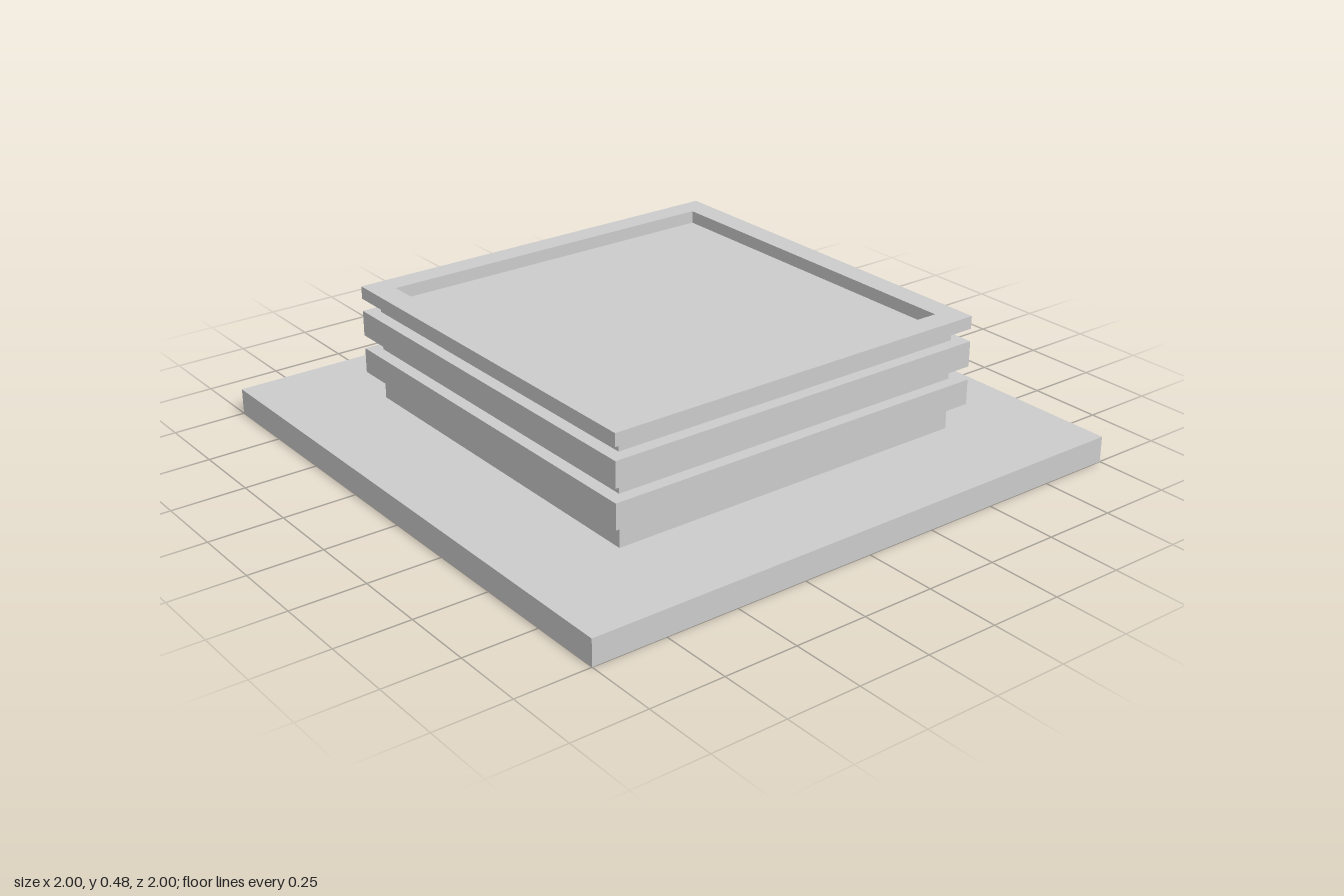
import * as THREE from 'three';

const material = new THREE.MeshStandardMaterial({ color: 0xcccccc, flatShading: true });

// Square slab between two heights, centred on the vertical axis
function slab(name, half, y0, y1) {
  const mesh = new THREE.Mesh(new THREE.BoxGeometry(half * 2, y1 - y0, half * 2), material);
  mesh.position.y = (y0 + y1) / 2;
  mesh.name = name;
  return mesh;
}

// Traces a square outline on a shape or path
function square(path, h) {
  path.moveTo(-h, -h);
  path.lineTo(h, -h);
  path.lineTo(h, h);
  path.lineTo(-h, h);
  path.closePath();
  return path;
}

// Square ring between two heights
function frame(name, outer, inner, y0, y1) {
  const shape = square(new THREE.Shape(), outer);
  shape.holes.push(square(new THREE.Path(), inner));
  const geometry = new THREE.ExtrudeGeometry(shape, { depth: y1 - y0, bevelEnabled: false });
  geometry.rotateX(-Math.PI / 2);
  const mesh = new THREE.Mesh(geometry, material);
  mesh.position.y = y0;
  mesh.name = name;
  return mesh;
}

export function createModel() {
  const group = new THREE.Group();
  group.name = 'steppedPedestal';

  // Wide base plate and the core rising from it; the core's top is the recess floor
  group.add(slab('basePlate', 1, 0, 0.088));
  group.add(slab('core', 0.65, 0.088, 0.437));

  // Two projecting bands around the core
  group.add(frame('lowerBand', 0.693, 0.65, 0.177, 0.262));
  group.add(frame('upperBand', 0.693, 0.65, 0.308, 0.394));

  // Raised rim around the recessed top
  group.add(frame('topRim', 0.693, 0.612, 0.437, 0.48));

  return group;
}
